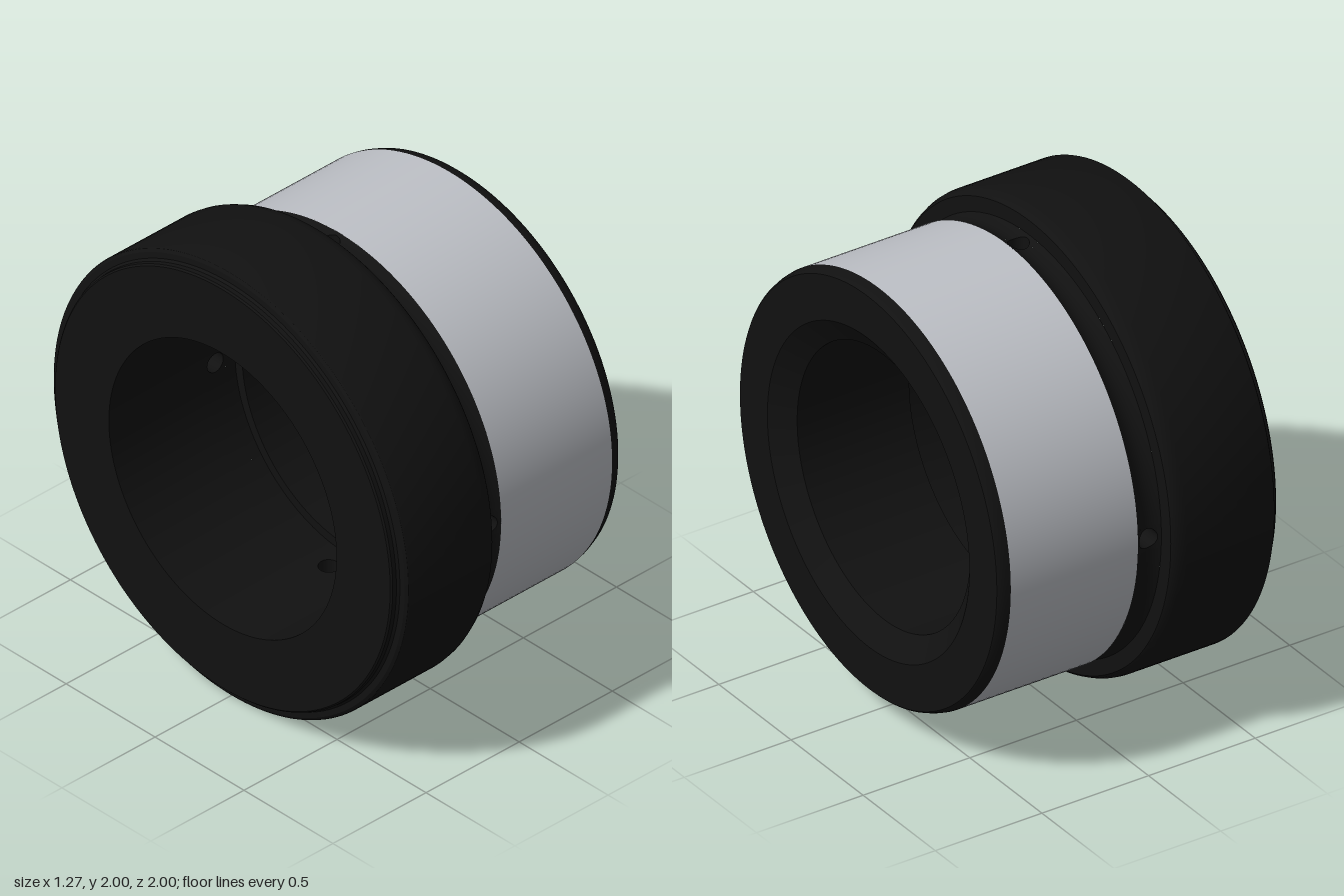
import * as THREE from 'three';
import { toCreasedNormals } from 'three/addons/utils/BufferGeometryUtils.js';

const SEG = 160;
const BORE = 0.6, COUNTERBORE = 0.64, STEP_X = 0.04; // the bore widens left of STEP_X
const GROOVE_X = -0.066, HALF = 0.055; // middle and half width of the groove
const HOLE_R = 0.043;
const X0 = GROOVE_X - HALF, X1 = GROOVE_X + HALF;

// Turned part around the x axis; points are [x, radius]
function turned(points, material, name) {
  const profile = points.map(([x, r]) => new THREE.Vector2(r, x));
  const geometry = new THREE.LatheGeometry(profile, SEG).rotateZ(-Math.PI / 2);
  const mesh = new THREE.Mesh(toCreasedNormals(geometry, 0.5), material);
  mesh.name = name;
  return mesh;
}

// Grid surface from a rule fn(u, v) -> [x, y, z]
function surface(fn, nu, nv, material, name) {
  const positions = [], index = [];
  for (let i = 0; i <= nu; i++)
    for (let j = 0; j <= nv; j++) positions.push(...fn(i / nu, j / nv));
  for (let i = 0; i < nu; i++)
    for (let j = 0; j < nv; j++) {
      const a = i * (nv + 1) + j, b = a + nv + 1;
      index.push(a, b, a + 1, b, b + 1, a + 1);
    }
  const geometry = new THREE.BufferGeometry();
  geometry.setAttribute('position', new THREE.Float32BufferAttribute(positions, 3));
  geometry.setIndex(index);
  geometry.computeVertexNormals();
  const mesh = new THREE.Mesh(geometry, material);
  mesh.name = name;
  return mesh;
}

const grooveRadius = (x) => 0.89 + 0.02 * ((x - GROOVE_X) / HALF) ** 2;
const boreRadius = () => COUNTERBORE;
const polar = (x, r, angle) => [x, r * Math.cos(angle), r * Math.sin(angle)];

// Point on a wall, at a sideways offset from the axis of a hole
const wallPoint = (radius, x, side, start) =>
  polar(x, radius(x), start + Math.asin(side / radius(x)));

// Wall of the ring between the flange and the sleeve, pierced by four holes
function piercedWall(radius, material, name) {
  const group = new THREE.Group();
  group.name = name;
  for (let k = 0; k < 4; k++) {
    const start = k * Math.PI / 2;
    // square patch around the hole
    group.add(surface((u, v) => {
      const a = u * Math.PI * 2, c = Math.cos(a), s = Math.sin(a);
      const edge = HALF / Math.max(Math.abs(c), Math.abs(s));
      const d = HOLE_R + (edge - HOLE_R) * v;
      return wallPoint(radius, GROOVE_X + d * c, d * s, start);
    }, 48, 4, material, name + 'HoleRim'));
    // plain arc up to the next hole
    group.add(surface((u, v) => {
      const x = X0 + (X1 - X0) * v;
      const inset = Math.asin(HALF / radius(x));
      return polar(x, radius(x), start + inset + u * (Math.PI / 2 - 2 * inset));
    }, 40, 12, material, name + 'Arc'));
  }
  return group;
}

export function createModel() {
  const model = new THREE.Group();
  model.name = 'flangedBushing';
  const black = new THREE.MeshStandardMaterial({ color: 0x111111 });
  const blackThin = new THREE.MeshStandardMaterial({ color: 0x111111, side: THREE.DoubleSide });
  const silver = new THREE.MeshStandardMaterial({ color: 0xbfc2c8 });

  // Flange with stepped outer face, and the counterbore inside it
  model.add(turned([
    [X0, COUNTERBORE], [-0.637, COUNTERBORE], [-0.637, 0.942], [-0.63, 0.949], [-0.612, 0.951],
    [-0.602, 0.96], [-0.6, 0.985], [-0.592, 0.997], [-0.585, 1], [-0.18, 1],
    [-0.155, 0.996], [-0.13, 0.985], [X0, 0.975], [X0, 0.91],
  ], black, 'flange'));

  // Bright outer band of the sleeve
  model.add(turned([[X1, 0.91], [0.585, 0.91]], silver, 'sleeveBand'));

  // Sleeve end with chamfers, then the narrow bore and its step
  model.add(turned([
    [0.585, 0.91], [0.605, 0.906], [0.63, 0.897], [0.637, 0.89],
    [0.637, 0.7], [0.565, BORE], [STEP_X, BORE], [STEP_X, COUNTERBORE], [X1, COUNTERBORE],
  ], black, 'sleeveEnd'));

  // Groove outside and bore wall inside
  model.add(piercedWall(grooveRadius, blackThin, 'groove'));
  model.add(piercedWall(boreRadius, blackThin, 'boreWall'));

  // Radial oil holes
  for (let k = 0; k < 4; k++) {
    model.add(surface((u, v) => {
      const a = u * Math.PI * 2;
      const x = GROOVE_X + HOLE_R * Math.cos(a), side = HOLE_R * Math.sin(a);
      const r = COUNTERBORE + (grooveRadius(x) - COUNTERBORE) * v;
      return polar(x, r, k * Math.PI / 2 + Math.asin(side / r));
    }, 48, 2, blackThin, 'oilHole'));
  }

  // Stand the ring on the ground
  model.children.forEach((part) => { part.position.y = 1; });
  return model;
}
